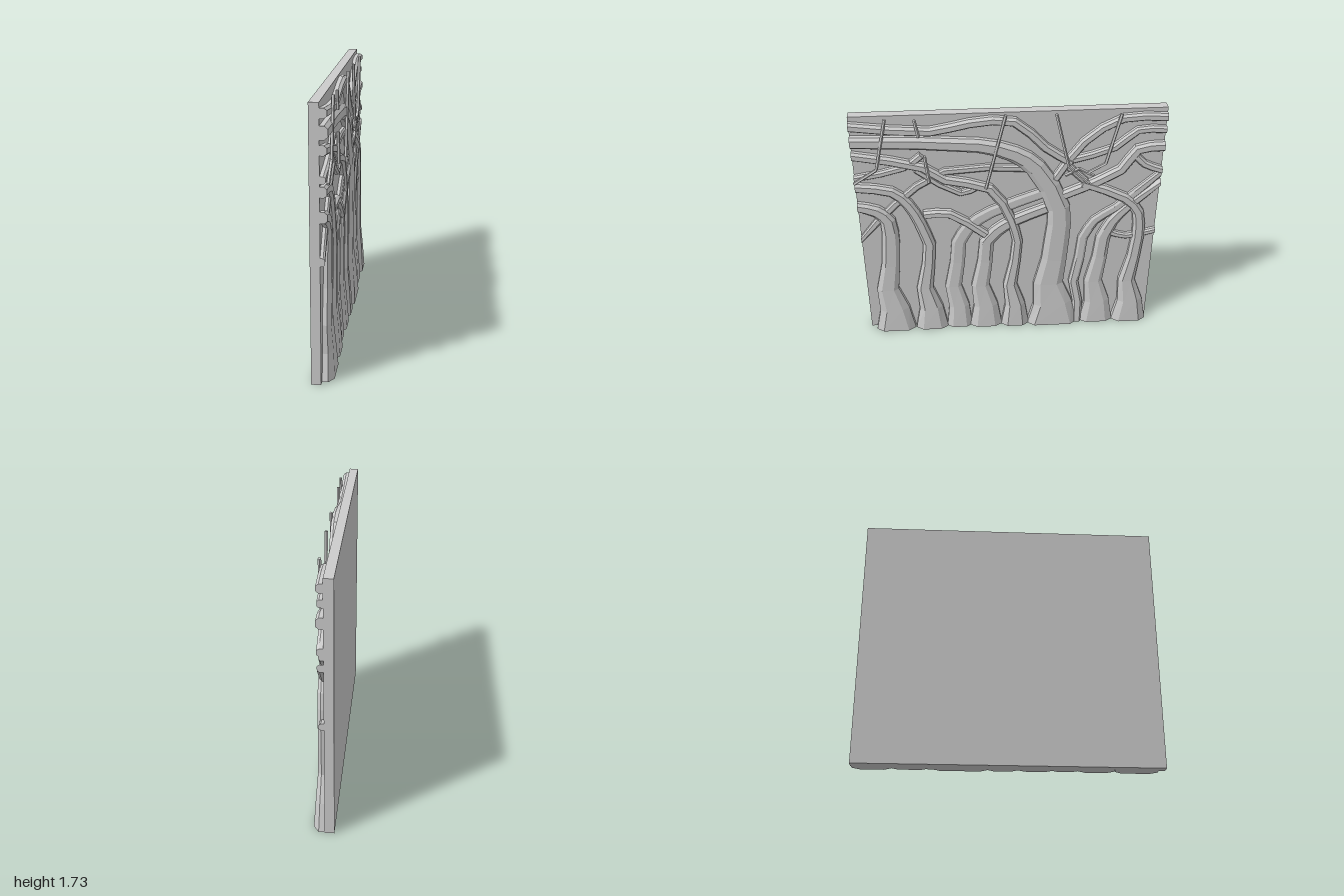
import * as THREE from 'three';

const mat = new THREE.MeshStandardMaterial({ color: 0xcccccc, flatShading: true, side: THREE.DoubleSide });
const BASE = -0.03; // limbs are rooted just inside the slab

// Bevelled relief limb swept through [z, y, width] points; top is its height in x.
function limb(name, top, pts) {
  const pos = [], idx = [], last = pts.length - 1;
  pts.forEach(([z, y, width], i) => {
    const a = pts[Math.max(0, i - 1)], b = pts[Math.min(last, i + 1)];
    // square ends at the panel's edges
    const tz = y === 0 ? 0 : b[0] - a[0];
    const ty = Math.abs(z) > 0.999 ? 0 : b[1] - a[1];
    const len = Math.hypot(ty, tz), w = width / 2;
    // limbs swell toward the foot
    const h = top + Math.max(0, 0.45 - y) * 0.06;
    const flat = w - Math.min(w * 0.45, 0.05);
    const section = [[-w, BASE], [w, BASE], [w, h * 0.45], [flat, h], [-flat, h], [-w, h * 0.45]];
    for (const [u, x] of section) pos.push(x, y - tz / len * u, z + ty / len * u);
  });
  for (let i = 0; i < last; i++) for (let j = 0; j < 6; j++) {
    const a = i * 6 + j, b = i * 6 + (j + 1) % 6;
    idx.push(a, b, b + 6, a, b + 6, a + 6);
  }
  const e = last * 6;
  for (let j = 1; j < 5; j++) idx.push(0, j + 1, j, e, e + j, e + j + 1);
  const g = new THREE.BufferGeometry();
  g.setAttribute('position', new THREE.Float32BufferAttribute(pos, 3));
  g.setIndex(idx);
  g.computeVertexNormals();
  const m = new THREE.Mesh(g, mat);
  m.name = name;
  return m;
}

// Samples a curve through [z, y] points, tapering from width w0 to w1
function sweep(path, w0, w1) {
  const curve = new THREE.CatmullRomCurve3(path.map(([z, y]) => new THREE.Vector3(0, y, z)));
  const n = (path.length - 1) * 2;
  return curve.getPoints(n).map((p, i) => [p.z, p.y, THREE.MathUtils.lerp(w0, w1, i / n)]);
}

// Trunk: a flared, gently swaying stem, then a crown that bends away as a branch
function trunk(top, foot, flare, width, tip, crown) {
  const stem = [[0, 0, 1], [0.18, 0, 0.55], [0.36, 0.035, 0.2], [0.57, 0, 0.03]].map(
    ([y, sway, f]) => [foot + sway, y, width + (flare - width) * f]);
  return limb('trunk', top, [...stem, ...sweep([[foot - 0.015, 0.74], ...crown], width, tip)]);
}

// Thin five-sided stick through [z, y] points, lying over the branches
function twig(path) {
  const group = new THREE.Group(), r = 0.011;
  group.name = 'twig';
  for (let i = 1; i < path.length; i++) {
    const [a, b] = [path[i - 1], path[i]].map(([z, y]) => new THREE.Vector3(0.038, y, z));
    const d = b.clone().sub(a);
    const m = new THREE.Mesh(new THREE.CylinderGeometry(r, r, d.length(), 5), mat);
    m.position.copy(a).add(b).multiplyScalar(0.5);
    m.quaternion.setFromUnitVectors(new THREE.Vector3(0, 1, 0), d.normalize());
    m.name = 'twigSegment';
    group.add(m);
  }
  return group;
}

export function createModel() {
  const root = new THREE.Group();
  root.name = 'treeReliefPanel';

  const slab = new THREE.Mesh(new THREE.BoxGeometry(0.06, 1.72, 2), mat);
  slab.position.set(-0.04, 0.86, 0);
  slab.name = 'backPanel';
  root.add(slab);

  // Trunks: height, foot z, foot width, stem width, tip width, crown path
  root.add(
    trunk(0.034, 0.82, 0.28, 0.12, 0.07, [[0.81, 0.94], [0.88, 1.02], [1, 1.06]]),
    trunk(0.032, 0.56, 0.23, 0.085, 0.065, [[0.6, 0.92], [0.67, 1.07], [0.77, 1.17], [1, 1.21]]),
    trunk(0.02, 0.36, 0.18, 0.1, 0.08, [[0.27, 0.87], [0.12, 0.98], [-0.25, 1.13]]),
    trunk(0.029, 0.17, 0.23, 0.1, 0.08, [[0.08, 0.83], [-0.02, 0.9], [-0.25, 1]]),
    trunk(0.033, -0.04, 0.2, 0.07, 0.06, [[-0.01, 0.92], [0.13, 1.17], [0.42, 1.25], [0.56, 1.35], [1, 1.45]]),
    trunk(0.04, -0.31, 0.36, 0.17, 0.08, [[-0.33, 1], [-0.17, 1.32], [-0.03, 1.43], [0.2, 1.5], [1, 1.55]]),
    trunk(0.018, -0.49, 0.07, 0.07, 0.06, [[-0.58, 0.88], [-0.72, 0.98], [-1, 1.25]]),
    trunk(0.027, -0.63, 0.24, 0.1, 0.05, [[-0.7, 0.87], [-0.8, 0.99], [-1, 1.17]]),
    trunk(0.036, -0.87, 0.25, 0.085, 0.06, [[-0.87, 0.94], [-0.77, 1.06], [-0.48, 1.19]]),
  );

  // Branches: height, width, path
  const branch = (top, w, path) => root.add(limb('branch', top, sweep(path, w, w)));
  branch(0.034, 0.06, [[1, 1.66], [0.5, 1.61], [0.25, 1.66], [-0.03, 1.66], [-0.23, 1.47], [-0.4, 1.35]]);
  branch(0.03, 0.055, [[-1, 1.66], [-0.72, 1.66], [-0.48, 1.5], [-0.3, 1.23]]);
  branch(0.025, 0.05, [[-1, 1.57], [-0.82, 1.57], [-0.68, 1.45], [-0.38, 1.36]]);
  branch(0.033, 0.07, [[-1, 1.45], [-0.83, 1.43], [-0.73, 1.28], [-0.36, 1.1]]);
  branch(0.03, 0.05, [[-0.8, 1.41], [-0.88, 1.32], [-1, 1.27]]);
  branch(0.018, 0.05, [[1, 0.79], [0.76, 1.06], [0.42, 1.31], [-0.15, 1.31]]);
  branch(0.034, 0.06, [[0.57, 0.98], [0.4, 0.98], [0.16, 0.8]]);
  branch(0.025, 0.045, [[1, 1.28], [0.68, 1.35], [0.56, 1.44]]);
  branch(0.02, 0.045, [[0.6, 1.33], [0.32, 1.14], [0.2, 1.19]]);
  branch(0.02, 0.045, [[-0.68, 0.78], [-0.8, 0.74], [-1, 0.78]]);
  branch(0.02, 0.05, [[-0.5, 1.2], [-0.36, 1.34]]);

  // Loose twigs
  root.add(
    twig([[0.77, 1.72], [0.85, 1.36], [1, 1.26]]),
    twig([[0.59, 1.71], [0.57, 1.59]]),
    twig([[0.025, 1.725], [0.155, 1.19]]),
    twig([[-0.29, 1.72], [-0.38, 1.34], [-0.52, 1.2]]),
    twig([[-0.7, 1.71], [-0.62, 1.35], [-0.5, 1.28]]),
    twig([[0.54, 1.45], [0.52, 1.25]]),
    twig([[-0.36, 1.27], [-0.45, 1.32], [-0.55, 1.26]]),
  );
  return root;
}
